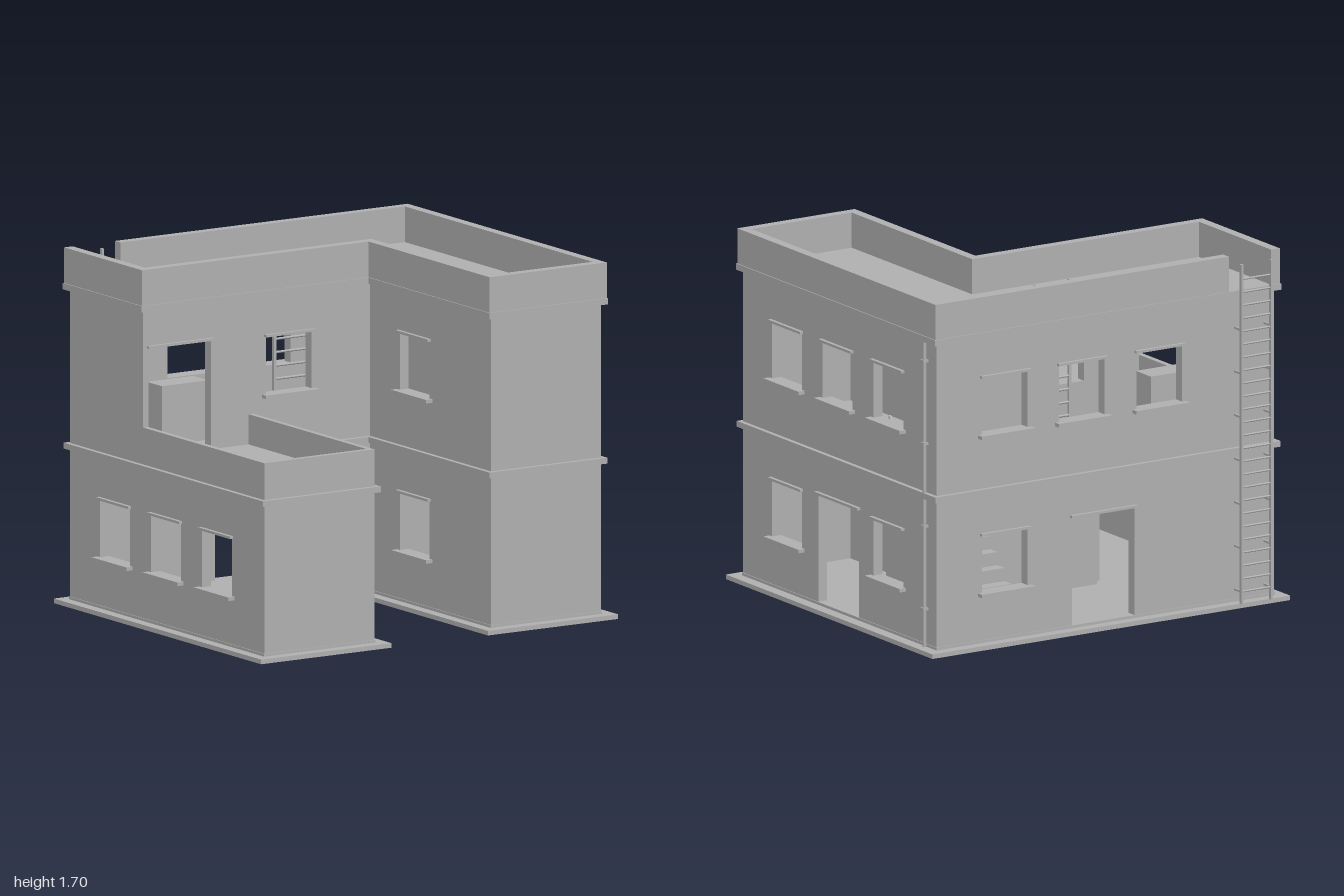
import * as THREE from 'three';

const T = 0.05; // wall thickness

export function createModel() {
  const model = new THREE.Group();
  model.name = 'building';
  const stone = new THREE.MeshStandardMaterial({ color: 0xb2b2b2 });
  stone.name = 'plain grey';

  const add = (name, geometry, parent = model) => {
    const mesh = new THREE.Mesh(geometry, stone);
    mesh.name = name;
    parent.add(mesh);
    return mesh;
  };
  // box given by its limits on each axis
  const box = (name, x0, x1, y0, y1, z0, z1, parent) => {
    const g = new THREE.BoxGeometry(x1 - x0, y1 - y0, z1 - z0);
    g.translate((x0 + x1) / 2, (y0 + y1) / 2, (z0 + z1) / 2);
    return add(name, g, parent);
  };
  const rod = (name, a, b, r, parent) => {
    const curve = new THREE.LineCurve3(new THREE.Vector3(...a), new THREE.Vector3(...b));
    return add(name, new THREE.TubeGeometry(curve, 1, r, 8).toNonIndexed(), parent);
  };
  const rect = (x0, x1, z0, z1) => [[x0, z0], [x1, z0], [x1, z1], [x0, z1]];
  // horizontal plate from a plan outline of [x, z] points
  const slab = (name, outline, holes, y0, y1) => {
    const pts = (list) => list.map(([x, z]) => new THREE.Vector2(x, -z));
    const shape = new THREE.Shape(pts(outline));
    holes.forEach((h) => shape.holes.push(new THREE.Path(pts(h))));
    const g = new THREE.ExtrudeGeometry(shape, { depth: y1 - y0, bevelEnabled: false });
    g.rotateX(-Math.PI / 2);
    g.translate(0, y0, 0);
    return add(name, g);
  };

  // plan outlines, pushed outwards by d
  const lowerPlan = (d) => [
    [-0.945 - d, -0.825 - d], [0.94 + d, -0.825 - d], [0.94 + d, 0.833 + d], [0.324 - d, 0.833 + d],
    [0.324 - d, -0.2 + d], [-0.328 + d, -0.2 + d], [-0.328 + d, 0.833 + d], [-0.945 - d, 0.833 + d],
  ];
  const upperPlan = (d) => [
    [-0.945 - d, -0.825 - d], [0.94 + d, -0.825 - d], [0.94 + d, 0.833 + d], [0.324 - d, 0.833 + d],
    [0.324 - d, -0.2 + d], [-0.945 - d, -0.2 + d],
  ];

  // wall with openings [centre, width, bottom, top]; at = outer face, dir = way it faces
  const wall = (name, axis, at, dir, from, to, y0, y1, openings = []) => {
    const group = new THREE.Group();
    group.name = name;
    model.add(group);
    const corners = (a, b, c, d) => [[a, c], [b, c], [b, d], [a, d]].map((p) => new THREE.Vector2(...p));
    const shape = new THREE.Shape(corners(from, to, y0, y1));
    openings.forEach(([c, w, b, t]) =>
      shape.holes.push(new THREE.Path(corners(c - w / 2, c + w / 2, b, t))));
    const g = new THREE.ExtrudeGeometry(shape, { depth: T, bevelEnabled: false });
    if (axis === 'x') {
      g.rotateY(-Math.PI / 2);
      g.translate(dir > 0 ? at : at + T, 0, 0);
    } else {
      g.translate(0, 0, dir > 0 ? at - T : at);
    }
    add(name + 'Panel', g, group);
    const ledge = (part, c, w, b, t, out) => {
      const lo = Math.min(at - dir * 0.01, at + dir * out);
      const hi = Math.max(at - dir * 0.01, at + dir * out);
      if (axis === 'x') box(part, lo, hi, b, t, c - w / 2, c + w / 2, group);
      else box(part, c - w / 2, c + w / 2, b, t, lo, hi, group);
    };
    openings.forEach(([c, w, b, t]) => {
      ledge('lintel', c, w + 0.02, t, t + 0.012, 0.018);
      if (w < 0.3) ledge('windowSill', c, w + 0.045, b - 0.017, b, 0.035);
    });
  };
  const low = (c) => [c, 0.255, 0.265, 0.54];
  const high = (c) => [c, 0.255, 1.03, 1.303];
  const door = (c) => [c, 0.35, 0.035, 0.557];

  // ground plate and floors
  slab('basePlate', [[-1, -0.88], [1, -0.88], [1, 0.89], [0.27, 0.89], [0.27, -0.12],
    [-0.27, -0.12], [-0.27, 0.89], [-1, 0.89]], [], 0, 0.022);
  slab('groundFloor', lowerPlan(0.004), [], 0.02, 0.035);
  slab('upperFloor', lowerPlan(-0.02), [rect(0.4, 0.7, -0.5, -0.02)], 0.75, 0.8);

  // ground storey walls
  const g0 = 0.02, g1 = 0.8;
  wall('lowerBackWall', 'z', -0.825, -1, -0.945, 0.94, g0, g1, [low(0.56), door(0.01)]);
  wall('lowerRightWall', 'x', 0.94, 1, -0.775, 0.783, g0, g1, [low(0.457), door(0.015), low(-0.411)]);
  wall('lowerLeftWall', 'x', -0.945, -1, -0.775, 0.783, g0, g1, [-0.44, -0.005, 0.43].map(low));
  wall('rightWingFrontWall', 'z', 0.833, 1, 0.324, 0.94, g0, g1);
  wall('leftWingFrontWall', 'z', 0.833, 1, -0.945, -0.328, g0, g1);
  wall('rightWingCourtWall', 'x', 0.324, -1, -0.2, 0.783, g0, g1, [low(0.183)]);
  wall('leftWingCourtWall', 'x', -0.328, 1, -0.2, 0.783, g0, g1, [low(0.45)]);
  wall('lowerCourtWall', 'z', -0.2, 1, -0.33, 0.326, g0, g1);

  // upper storey walls
  const u0 = 0.8, u1 = 1.51;
  wall('upperBackWall', 'z', -0.825, -1, -0.945, 0.94, u0, u1, [-0.304, 0.13, 0.56].map(high));
  wall('upperRightWall', 'x', 0.94, 1, -0.775, 0.783, u0, u1, [0.457, 0.025, -0.411].map(high));
  wall('upperLeftWall', 'x', -0.945, -1, -0.775, -0.25, u0, u1);
  wall('upperWingFrontWall', 'z', 0.833, 1, 0.324, 0.94, u0, u1);
  wall('upperWingCourtWall', 'x', 0.324, -1, -0.2, 0.783, u0, u1, [high(0.183)]);
  wall('terraceWall', 'z', -0.2, 1, -0.945, 0.374, u0, u1,
    [high(-0.13), [-0.74, 0.35, 0.805, 1.32]]);

  // string course, cornice and main roof with its hatch
  slab('stringCourse', lowerPlan(0.022), [lowerPlan(-0.02)], 0.74, 0.768);
  slab('cornice', upperPlan(0.025), [upperPlan(-0.02)], 1.5, 1.53);
  slab('mainRoof', upperPlan(-0.01), [rect(-0.175, 0.2, -0.755, -0.38)], 1.5, 1.53);

  // main parapet, open at the back for the ladder
  const o = upperPlan(0.02), i = upperPlan(-0.028);
  slab('mainParapet', [[-0.68, o[0][1]], ...o.slice(1), o[0], [i[0][0], o[0][1]],
    i[0], ...i.slice(1).reverse(), [-0.68, i[0][1]]], [], 1.53, 1.7);

  // terrace parapet on the low wing
  slab('terraceParapet', [[-0.945, -0.2], [-0.945, 0.833], [-0.328, 0.833], [-0.328, -0.2],
    [-0.355, -0.2], [-0.355, 0.804], [-0.917, 0.804], [-0.917, -0.2]], [], 0.79, 0.944);

  // outside ladder
  const ladder = new THREE.Group();
  ladder.name = 'outsideLadder';
  model.add(ladder);
  for (const x of [-0.892, -0.728]) {
    box('ladderRail', x - 0.006, x + 0.006, 0.02, 1.663, -0.89, -0.873, ladder);
    for (let k = 0; k < 7; k++) {
      const y = 0.08 + k * 0.211;
      box('ladderBracket', x - 0.005, x + 0.005, y - 0.005, y + 0.005, -0.88, -0.82, ladder);
    }
  }
  for (let k = 0; k < 25; k++) {
    const y = 0.08 + k * 0.063;
    rod('ladderRung', [-0.892, y, -0.881], [-0.728, y, -0.881], 0.005, ladder);
  }

  // hatch ladder
  const hatch = new THREE.Group();
  hatch.name = 'hatchLadder';
  model.add(hatch);
  for (const x of [-0.08, 0.11]) {
    box('hatchLadderRail', x - 0.007, x + 0.007, 0.8, 1.58, -0.407, -0.393, hatch);
  }
  for (let k = 0; k < 12; k++) {
    const y = 0.86 + k * 0.0633;
    rod('hatchLadderRung', [-0.08, y, -0.4], [0.11, y, -0.4], 0.006, hatch);
  }

  // drainpipe with clips
  rod('drainpipe', [0.952, 0.022, -0.739], [0.952, 1.515, -0.739], 0.01);
  for (const y of [0.2, 0.6, 1.0, 1.4]) {
    box('pipeClip', 0.935, 0.966, y, y + 0.012, -0.753, -0.725);
  }

  // solid inner staircase with handrail
  const stair = new THREE.Group();
  stair.name = 'staircase';
  model.add(stair);
  for (let k = 0; k < 12; k++) {
    const z = -0.765 + k * 0.062;
    box('stairStep', 0.4, 0.7, 0.03, 0.035 + (k + 1) * 0.0637, z, z + 0.062, stair);
  }
  rod('handrail', [0.69, 0.27, -0.72], [0.69, 0.95, -0.04], 0.007, stair);
  for (const z of [-0.72, -0.37, -0.04]) {
    rod('handrailPost', [0.69, z + 0.8, z], [0.69, z + 0.99, z], 0.007, stair);
  }

  // chest on the upper floor
  box('chest', -0.71, -0.45, 0.8, 1.083, -0.53, -0.4);

  return model;
}
